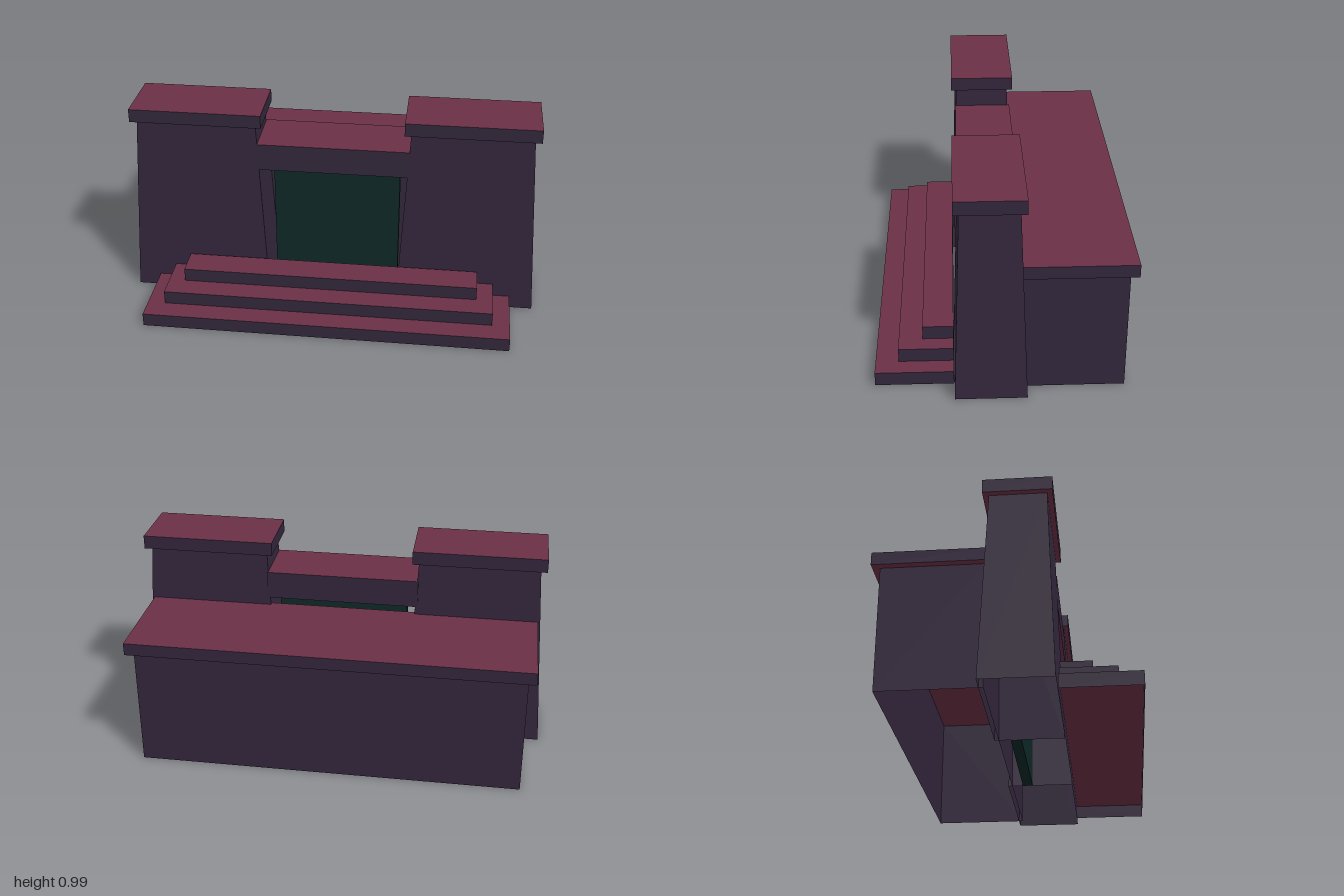
import * as THREE from 'three';

const mat = (name, color) => {
  const m = new THREE.MeshStandardMaterial({ color, side: THREE.DoubleSide });
  m.name = name;
  return m;
};

export function createModel() {
  const group = new THREE.Group();
  const wall = mat('dark purple wall', 0x32263b);
  const top = mat('maroon roof', 0x6a3045);
  const green = mat('dark green door', 0x0f2827);
  const faces = [wall, wall, top, top, wall, wall];

  // Block between two corners; optional shell without underside
  function block(name, [x0, x1], [y0, y1], [z0, z1], material = faces, open = false) {
    const g = new THREE.BoxGeometry(x1 - x0, y1 - y0, z1 - z0);
    g.translate((x0 + x1) / 2, (y0 + y1) / 2, (z0 + z1) / 2);
    if (open) {
      const idx = Array.from(g.index.array);
      idx.splice(18, 6);
      g.setIndex(idx);
      g.clearGroups();
      [0, 1, 2, 4, 5].forEach((m, i) => g.addGroup(i * 6, 6, m));
    }
    const mesh = new THREE.Mesh(g, material);
    mesh.name = name;
    group.add(mesh);
    return mesh;
  }

  // Pair of tapering towers with flat caps
  for (const s of [1, -1]) {
    const side = s > 0 ? 'left' : 'right';
    const span = (a, b) => (s > 0 ? [a, b] : [-b, -a]);
    const tower = block(side + 'Tower', span(0.32, 1), [0, 0.92], [-0.105, 0.22], faces, true);
    const p = tower.geometry.attributes.position;
    for (let i = 0; i < p.count; i++) {
      if (p.getY(i) < 0.5) continue;
      p.setX(i, s * (Math.abs(p.getX(i)) > 0.6 ? 0.945 : 0.37));
      p.setZ(i, p.getZ(i) > 0 ? 0.19 : -0.07);
    }
    tower.geometry.computeVertexNormals();
    block(side + 'TowerCap', span(0.34, 0.975), [0.92, 0.985], [-0.097, 0.215]);
  }

  // Gateway between the towers
  block('lintel', [-0.37, 0.37], [0.69, 0.825], [-0.083, 0.196]);
  block('door', [-0.315, 0.315], [0, 0.69], [-0.03, 0.02], green);

  // Hall behind the towers
  block('hall', [-0.915, 0.915], [0, 0.59], [-0.548, -0.085], faces, true);
  block('hallRoof', [-0.95, 0.95], [0.59, 0.65], [-0.582, -0.06]);

  // Entrance steps
  [[0.885, 0.58], [0.8, 0.475], [0.72, 0.365]].forEach(([x, z], i) => {
    block('step' + (i + 1), [-x, x], [i * 0.066, (i + 1) * 0.066], [0.222, z], faces, true);
  });

  return group;
}
